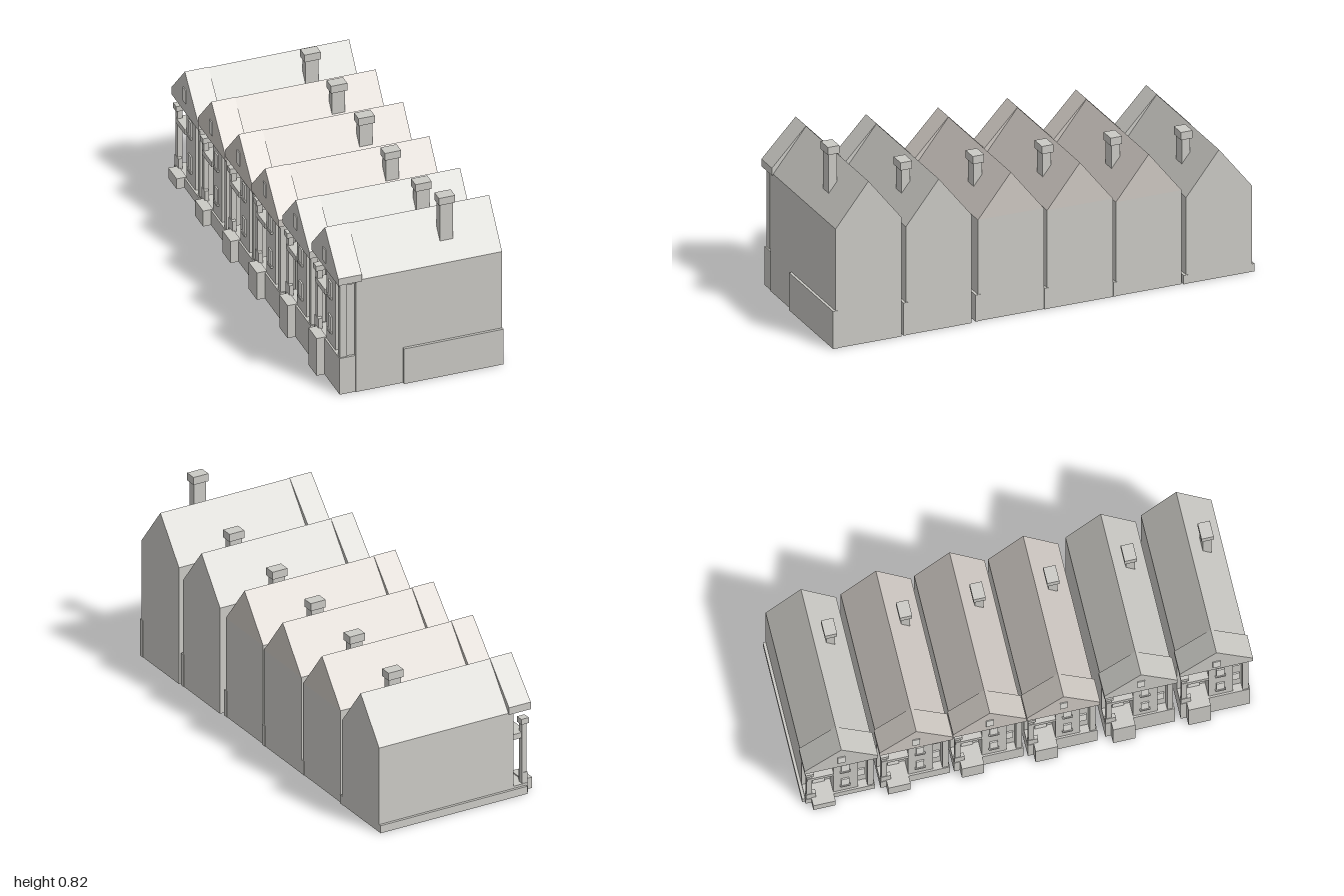
import * as THREE from 'three';

const mat = (name, color) => {
  const m = new THREE.MeshStandardMaterial({ color });
  m.name = name;
  return m;
};

export function createModel() {
  const stone = mat('greyStone', 0xcbcac5);
  const warm = mat('warmStone', 0xcfc9c3);
  const pale = mat('paleWindow', 0xeeede8);

  const LENGTH = 0.73, HALF = 0.15;

  // x, z and base height, ridge height, chimney top, chimney position along the ridge, roof colour
  const houses = [
    [-0.115, -0.79, 0.045, 0.58, 0.61, 0.53, stone],
    [-0.07, -0.475, 0.07, 0.615, 0.64, 0.53, warm],
    [-0.02, -0.165, 0.10, 0.635, 0.66, 0.53, warm],
    [0.025, 0.145, 0.125, 0.647, 0.67, 0.53, warm],
    [0.085, 0.472, 0.153, 0.68, 0.705, 0.53, stone],
    [0.14, 0.79, 0.175, 0.73, 0.825, 0.505, stone],
  ];

  const model = new THREE.Group();
  model.name = 'terraceRow';

  houses.forEach(([cx, cz, base, ridge, chimneyTop, chimneyAt, roofMat], index) => {
    const house = new THREE.Group();
    house.name = 'house' + (index + 1);
    const eave = ridge - 0.19;

    // box between two corners; x runs from the street front (0) to the back
    const box = (name, x0, x1, y0, y1, z0, z1, material = stone) => {
      const m = new THREE.Mesh(new THREE.BoxGeometry(x1 - x0, y1 - y0, z1 - z0), material);
      m.position.set((x0 + x1) / 2 - LENGTH / 2, (y0 + y1) / 2, (z0 + z1) / 2);
      m.name = name;
      house.add(m);
    };

    // outline across the house, swept from x0 to x1
    const sweep = (name, points, x0, x1, material) => {
      const shape = new THREE.Shape(points.map(([a, b]) => new THREE.Vector2(a, b)));
      const g = new THREE.ExtrudeGeometry(shape, { depth: x1 - x0, bevelEnabled: false });
      g.rotateY(Math.PI / 2);
      const m = new THREE.Mesh(g, material);
      m.position.x = x0 - LENGTH / 2;
      m.name = name;
      house.add(m);
    };

    // main walls and roof
    box('walls', 0.08, LENGTH, 0, eave, -HALF, HALF);
    sweep('roof', [[-HALF, eave], [HALF, eave], [0, ridge]], 0.09, LENGTH, roofMat);

    // overhanging front gable with deep eaves
    const w = HALF + 0.006;
    sweep('frontGable', [[-w, eave - 0.005], [w, eave - 0.005], [w, eave + 0.028],
      [0, ridge + 0.002], [-w, eave + 0.028]], 0, 0.105, roofMat);
    box('gableWindow', -0.004, 0.002, base + 0.39, base + 0.455, -0.016, 0.016, pale);

    // porch floor and front step
    box('porchFloor', 0.01, 0.08, 0, base, -HALF, HALF - 0.004);
    box('frontStep', -0.025, 0.02, 0, base + 0.005, -0.125, -0.03);

    // two-storey bay with windows
    const bayTop = eave - 0.02;
    box('bay', 0.018, 0.085, base, bayTop, -0.03, 0.075);
    box('bayCornice', 0.01, 0.085, bayTop, eave, -0.035, 0.14);
    box('bayWing', 0.045, 0.085, base, bayTop, 0.07, 0.135);
    box('rightPillar', 0.014, 0.045, base, bayTop, 0.115, 0.14);
    for (const y of [0.07, 0.235]) {
      const top = base + y + 0.07;
      box('bayWindow', 0.012, 0.02, base + y, top, 0.003, 0.037, pale);
      box('windowSill', 0.008, 0.02, base + y - 0.01, base + y, -0.002, 0.042);
      box('wingWindow', 0.039, 0.047, base + y, top, 0.08, 0.108, pale);
    }

    // open porch on the other side: pillar, beam, balcony and door
    box('porchPillar', 0.014, 0.036, base, base + 0.29, -0.145, -0.122);
    box('pillarCap', 0.006, 0.042, base + 0.275, base + 0.3, -0.15, -0.115);
    box('porchBeam', 0.012, 0.085, base + 0.21, base + 0.235, -0.142, -0.03);
    box('lowRailing', 0.012, 0.03, base, base + 0.05, -0.148, -0.105);
    box('porchDoor', 0.074, 0.082, base, base + 0.14, -0.105, -0.055, pale);
    box('upperWindow', 0.074, 0.082, base + 0.25, base + 0.315, -0.1, -0.06, pale);

    // plinth along the lower part of the side wall
    box('sidePlinth', 0.29, LENGTH + 0.002, 0, base - 0.005, HALF - 0.01, HALF + 0.012);
    if (index === 0) box('endPlinth', 0.02, LENGTH, 0, 0.035, -HALF - 0.012, -HALF + 0.01);

    // chimney
    const z = 0.073, capY = chimneyTop - 0.035;
    box('chimney', chimneyAt - 0.029, chimneyAt + 0.029, eave + 0.05, capY, z - 0.019, z + 0.019);
    box('chimneyCap', chimneyAt - 0.036, chimneyAt + 0.036, capY, chimneyTop, z - 0.026, z + 0.026);

    house.position.set(cx, 0, cz);
    house.rotation.y = THREE.MathUtils.degToRad(8.9);
    model.add(house);
  });
  return model;
}
